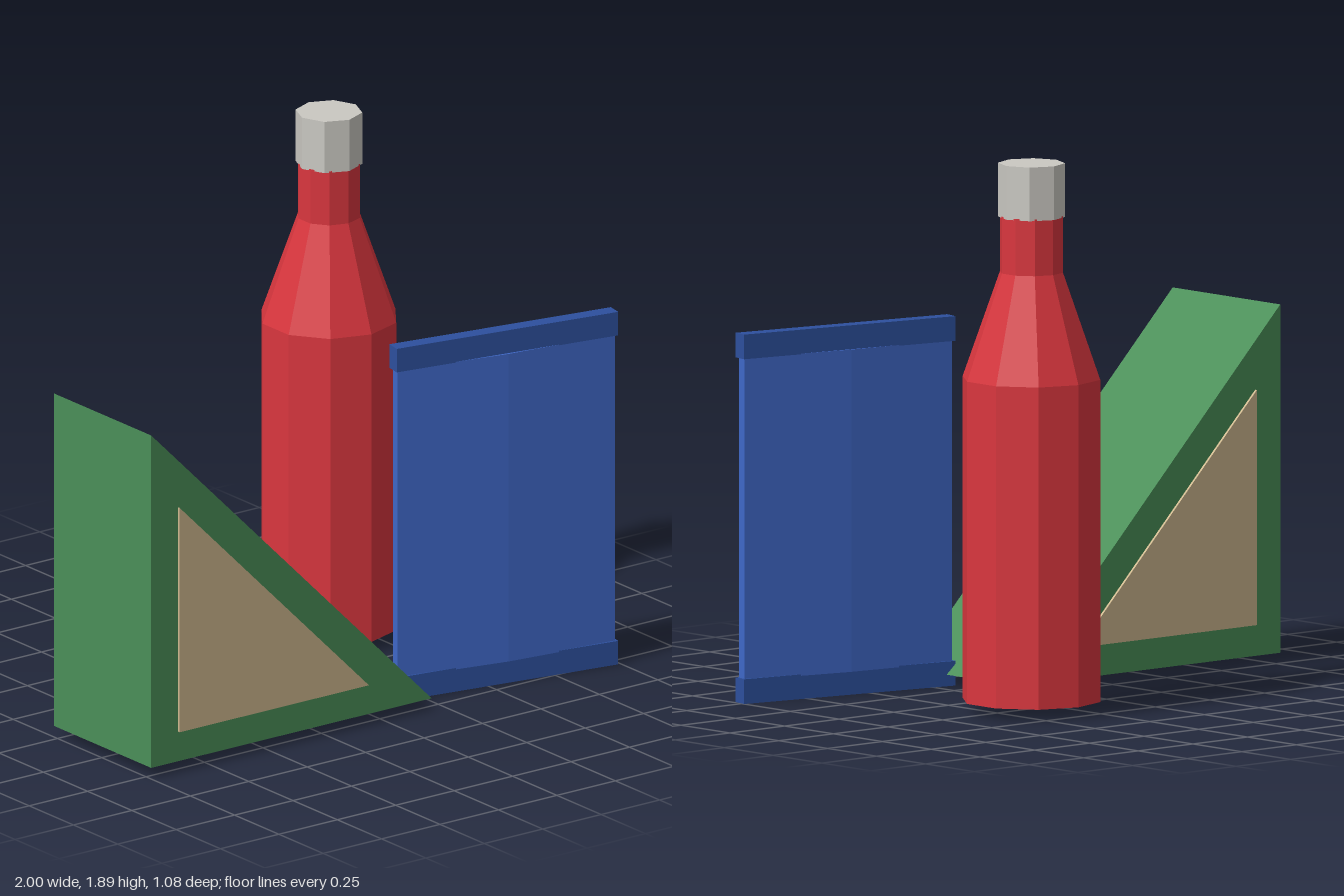
import * as THREE from 'three';

const material = (name, color) => {
  const m = new THREE.MeshStandardMaterial({ color, flatShading: true });
  m.name = name;
  return m;
};

export function createModel() {
  const green = material('green', 0x4a8f58);
  const tan = material('tan', 0xcfb98f);
  const red = material('red', 0xd9363e);
  const grey = material('light grey', 0xcac8c2);
  const blue = material('blue', 0x3f68c8);
  const navy = material('dark blue', 0x2d509e);

  const model = new THREE.Group();
  const add = (parent, name, geometry, mat, x = 0, y = 0, z = 0) => {
    const mesh = new THREE.Mesh(geometry, mat);
    mesh.name = name;
    mesh.position.set(x, y, z);
    parent.add(mesh);
    return mesh;
  };
  const group = (name, x = 0, z = 0) => {
    const g = new THREE.Group();
    g.name = name;
    g.position.set(x, 0, z);
    model.add(g);
    return g;
  };
  const extrude = (points, depth) => new THREE.ExtrudeGeometry(
    new THREE.Shape(points.map(([x, y]) => new THREE.Vector2(x, y))),
    { depth, bevelEnabled: false });

  // Triangular wedge with an inlaid triangle on each end
  const wedge = group('wedge');
  add(wedge, 'wedgeBody', extrude([[-1, 0.04], [0.2, 0.04], [-1, 1.24]], 0.55), green, 0, 0, -0.021);
  for (const [name, z] of [['frontPlate', 0.529], ['backPlate', -0.03]]) {
    add(wedge, name, extrude([[-0.885, 0.147], [-0.075, 0.147], [-0.885, 0.957]], 0.009), tan, 0, 0, z);
  }

  // Ten-sided bottle with an eight-sided cap
  const bottle = group('bottle', 0.39, -0.302);
  const profile = [[0, 0.04], [0.24, 0.04], [0.24, 1.15], [0.11, 1.515], [0.11, 1.71], [0, 1.71]]
    .map(([r, y]) => new THREE.Vector2(r, y));
  add(bottle, 'bottleBody', new THREE.LatheGeometry(profile, 10), red);
  add(bottle, 'bottleCap', new THREE.CylinderGeometry(0.115, 0.115, 0.185, 8), grey, 0, 1.7975, 0);

  // Flat packet, thicker in the middle, with a sealed strip along top and bottom
  const packet = group('packet', 0.577, 0.439);
  packet.rotation.y = -0.176;
  const section = [[-0.416, -0.018], [0, -0.036], [0.416, -0.018], [0.416, 0.018], [0, 0.036], [-0.416, 0.018]];
  const panel = extrude(section, 1.11);
  panel.rotateX(-Math.PI / 2);
  add(packet, 'packetPanel', panel, blue, 0, 0.08, 0);
  for (const [name, y] of [['topStrip', 1.23], ['bottomStrip', 0.0425]]) {
    add(packet, name, new THREE.BoxGeometry(0.848, 0.085, 0.055), navy, 0, y, 0);
  }

  return model;
}
